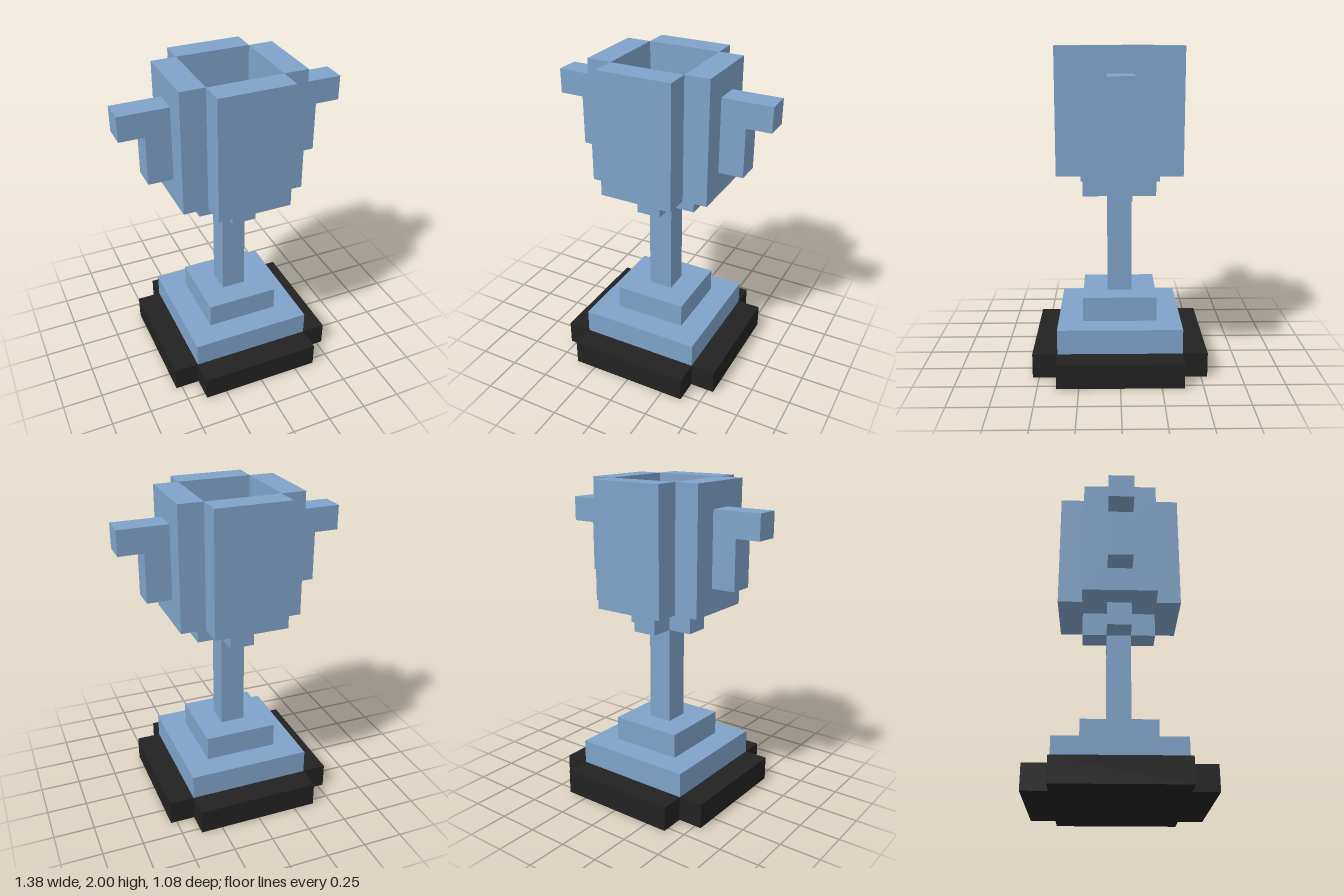
import * as THREE from 'three';

// Everything sits on a cubic grid, 13 cells tall
const U = 2 / 13;

export function createModel() {
  const cup = new THREE.MeshStandardMaterial({ color: 0x7fa3c9 });
  cup.name = 'steel blue';
  const plinth = new THREE.MeshStandardMaterial({ color: 0x222222 });
  plinth.name = 'black';

  const model = new THREE.Group();
  model.name = 'trophy';

  function add(name, geometry, material, parent) {
    const mesh = new THREE.Mesh(geometry, material);
    mesh.name = name;
    parent.add(mesh);
    return mesh;
  }

  // Box in grid cells, from y0 to y1, centred on x and z
  function block(name, w, d, y0, y1, x = 0, z = 0, parent = model) {
    const mesh = add(name, new THREE.BoxGeometry(w * U, (y1 - y0) * U, d * U), cup, parent);
    mesh.position.set(x * U, (y0 + y1) / 2 * U, z * U);
    return mesh;
  }

  // Square slab with one notch cut from each corner; a = outer half, b = inner half
  function notchedSlab(name, a, b, y0, y1, material) {
    const outline = [
      [a, -b], [a, b], [b, b], [b, a], [-b, a], [-b, b],
      [-a, b], [-a, -b], [-b, -b], [-b, -a], [b, -a], [b, -b],
    ].map(([x, y]) => new THREE.Vector2(x * U, y * U));
    const geometry = new THREE.ExtrudeGeometry(new THREE.Shape(outline), {
      depth: (y1 - y0) * U, bevelEnabled: false,
    });
    geometry.rotateX(-Math.PI / 2);
    add(name, geometry, material, model).position.y = y0 * U;
  }

  // Foot and stem
  notchedSlab('plinth', 3.5, 2.5, 0, 1, plinth);
  block('lowerStep', 5, 5, 1, 2);
  block('upperStep', 3, 3, 2, 3);
  block('stem', 1, 1, 3, 7);
  notchedSlab('bowlCollar', 1.5, 0.5, 7, 8, cup);

  // Hollow bowl: four walls, with raised corners on its floor
  const bowl = new THREE.Group();
  bowl.name = 'bowl';
  model.add(bowl);
  for (const s of [-1, 1]) {
    block(s > 0 ? 'frontWall' : 'backWall', 3, 1, 8, 13, 0, 2 * s, bowl);
    block(s > 0 ? 'leftWall' : 'rightWall', 1, 3, 8, 13, 2 * s, 0, bowl);
    for (const t of [-1, 1]) block('floorCorner', 1, 1, 8, 9, s, t, bowl);
  }

  // Stepped handles
  for (const s of [-1, 1]) {
    const handle = new THREE.Group();
    handle.name = s > 0 ? 'leftHandle' : 'rightHandle';
    model.add(handle);
    block('handleGrip', 1, 1, 9, 11, 3 * s, 0, handle);
    block('handleTop', 2, 1, 11, 12, 3.5 * s, 0, handle);
  }

  return model;
}
